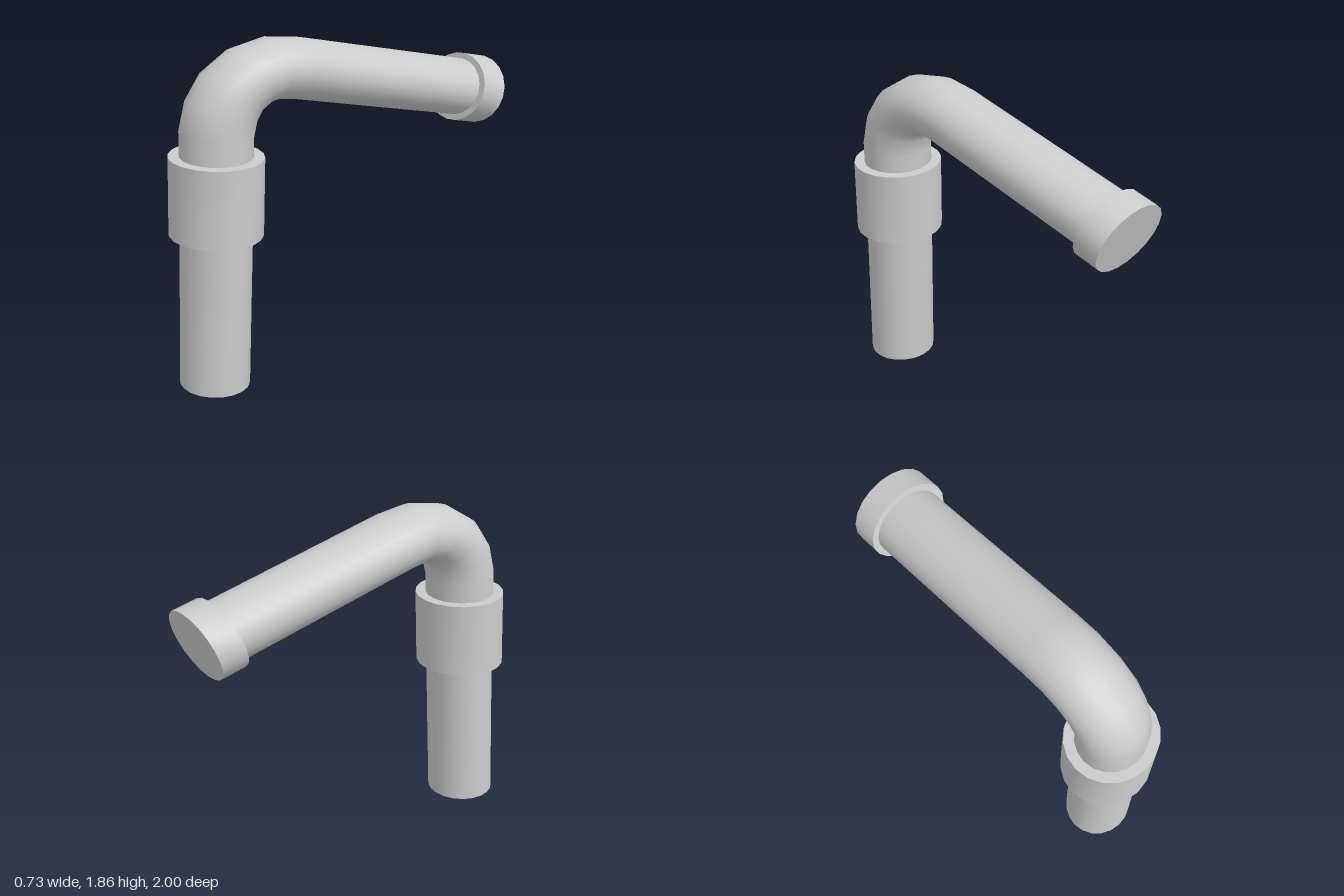
import * as THREE from 'three';

const SIDES = 20;
// The pipe has an oval section: sweep round rings, then squash them.
const SQUASH = new THREE.Vector3(1, 0.8, 0.94);
const BEND_AXIS = new THREE.Vector3(1, 0, 0.12);

// Sweep a capped round section along a list of points.
function sweep(path, radius) {
  const points = path.map((p) => new THREE.Vector3(...p).divide(SQUASH));
  const positions = [];
  const index = [];
  const rings = points.map((p, i) => {
    const dir = new THREE.Vector3();
    if (i > 0) dir.add(p.clone().sub(points[i - 1]).normalize());
    if (i < points.length - 1) dir.add(points[i + 1].clone().sub(p).normalize());
    dir.normalize();
    const u = BEND_AXIS.clone().addScaledVector(dir, -BEND_AXIS.dot(dir)).normalize();
    const v = dir.clone().cross(u);
    return Array.from({ length: SIDES }, (_, j) => {
      const a = (j / SIDES) * Math.PI * 2;
      return p.clone().addScaledVector(u, radius * Math.cos(a)).addScaledVector(v, radius * Math.sin(a));
    });
  });

  // Wall
  rings.forEach((ring) => ring.forEach((p) => positions.push(p.x, p.y, p.z)));
  for (let i = 0; i < rings.length - 1; i++) {
    for (let j = 0; j < SIDES; j++) {
      const k = (j + 1) % SIDES;
      const a = i * SIDES + j, b = i * SIDES + k;
      index.push(a, b, b + SIDES, a, b + SIDES, a + SIDES);
    }
  }
  // End discs, with their own vertices so the rims stay sharp
  const last = rings.length - 1;
  for (const i of [0, last]) {
    const base = positions.length / 3;
    [points[i], ...rings[i]].forEach((p) => positions.push(p.x, p.y, p.z));
    for (let j = 0; j < SIDES; j++) {
      const a = base + 1 + j, b = base + 1 + ((j + 1) % SIDES);
      if (i === 0) index.push(base, b, a);
      else index.push(base, a, b);
    }
  }

  const geometry = new THREE.BufferGeometry();
  geometry.setAttribute('position', new THREE.Float32BufferAttribute(positions, 3));
  geometry.setIndex(index);
  geometry.computeVertexNormals();
  geometry.scale(SQUASH.x, SQUASH.y, SQUASH.z);
  return geometry;
}

export function createModel() {
  const group = new THREE.Group();
  const material = new THREE.MeshStandardMaterial({ color: 0xcccccc });
  const add = (name, path, radius) => {
    const mesh = new THREE.Mesh(sweep(path, radius), material);
    mesh.name = name;
    group.add(mesh);
  };

  // Slightly leaning upright
  add('lowerPipe', [[-0.125, 0.009, 0.79], [-0.101, 1.0, 0.754]], 0.198);
  add('collar', [[-0.106, 0.867, 0.758], [-0.096, 1.288, 0.746]], 0.258);

  // Elbow running into the long sloping arm
  add('bentPipe', [
    [-0.101, 1.08, 0.751],
    [-0.095, 1.4, 0.743],
    [-0.09, 1.52, 0.712],
    [-0.083, 1.61, 0.65],
    [-0.07, 1.676, 0.545],
    [-0.053, 1.7, 0.414],
    [-0.035, 1.68, 0.275],
    [0.11, 1.412, -0.84],
  ], 0.199);

  // Cap on the far end
  add('endCap', [[0.107, 1.423, -0.793], [0.127, 1.388, -0.938]], 0.239);

  return group;
}
